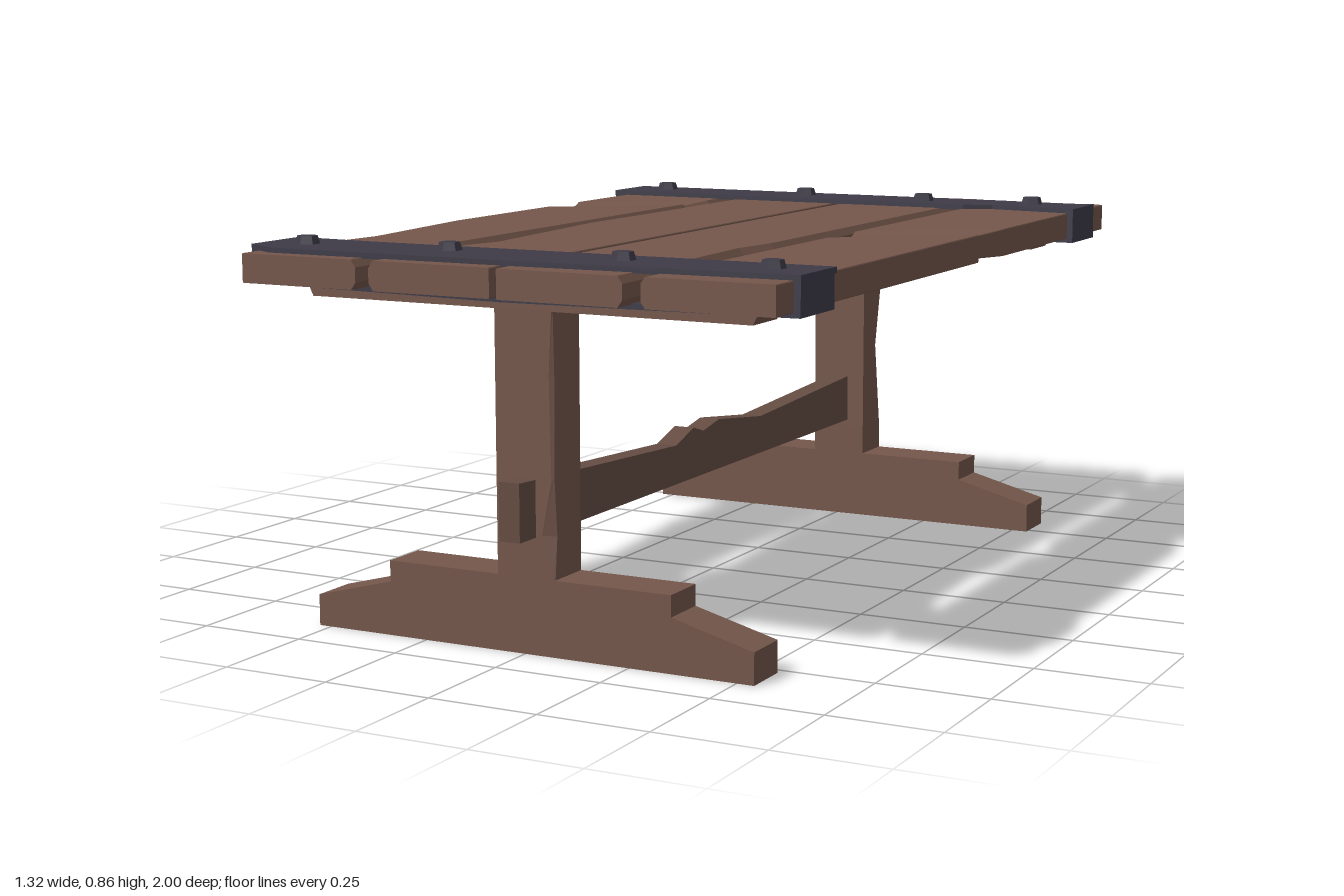
import * as THREE from 'three';

const wood = new THREE.MeshStandardMaterial({ color: 0x75574b, flatShading: true });
const darkWood = new THREE.MeshStandardMaterial({ color: 0x664d43, flatShading: true });
const metal = new THREE.MeshStandardMaterial({ color: 0x3e3b48, flatShading: true });

function add(parent, name, geometry, material) {
  const mesh = new THREE.Mesh(geometry, material);
  mesh.name = name;
  parent.add(mesh);
  return mesh;
}

// Closed solid skinned over rings of equal point count
function loft(rings) {
  const n = rings[0].length, last = rings.length - 1, index = [];
  for (let i = 0; i < last; i++) {
    for (let j = 0; j < n; j++) {
      const k = (j + 1) % n, p = i * n, q = p + n;
      index.push(p + j, p + k, q + k, p + j, q + k, q + j);
    }
  }
  for (let j = 1; j < n - 1; j++) {
    index.push(0, j + 1, j, last * n, last * n + j, last * n + j + 1);
  }
  const g = new THREE.BufferGeometry();
  g.setAttribute('position', new THREE.Float32BufferAttribute(rings.flat(2), 3));
  g.setIndex(index);
  const flat = g.toNonIndexed();
  flat.computeVertexNormals();
  return flat;
}

function extrude(points, depth) {
  const shape = new THREE.Shape(points.map(([a, b]) => new THREE.Vector2(a, b)));
  return new THREE.ExtrudeGeometry(shape, { depth, bevelEnabled: false });
}

// Flat plate from an x,z outline
function plate(outline, y0, y1) {
  return extrude(outline.map(([x, z]) => [x, -z]), y1 - y0).rotateX(-Math.PI / 2).translate(0, y0, 0);
}

// Plank from rows [leftX, leftZ, rightX, rightZ, top dent], with an edge chamfer per side
function plank(rows, cl, cr) {
  const y0 = 0.77;
  return loft(rows.map(([xa, za, xb, zb, dent = 0]) => {
    const y1 = 0.834 - dent;
    return [
      [xa + cl * 0.7, y0, za], [xb - cr * 0.7, y0, zb], [xb, y0 + cr, zb], [xb, y1 - cr, zb],
      [xb - cr * 0.7, y1, zb], [xa + cl * 0.7, y1, za], [xa, y1 - cl, za], [xa, y0 + cl, za],
    ];
  }));
}

const planks = [
  { cl: 0.002, cr: 0.016, rows: [
    [-0.625, -0.985, -0.333, -0.985], [-0.625, -0.44, -0.333, -0.64], [-0.595, -0.36, -0.365, -0.57, 0.01],
    [-0.625, -0.28, -0.333, -0.5], [-0.625, 0.15, -0.333, 0.15], [-0.58, 0.56, -0.333, 0.56],
    [-0.6, 0.74, -0.333, 0.74], [-0.625, 0.82, -0.333, 0.82], [-0.625, 0.995, -0.333, 0.995]] },
  { cl: 0.016, cr: 0.002, rows: [
    [-0.3, -0.975, -0.007, -0.99], [-0.305, -0.3, -0.005, -0.3], [-0.315, 0.05, -0.005, 0.05],
    [-0.275, 0.54, -0.005, 0.54], [-0.3, 0.63, -0.005, 0.63], [-0.3, 0.995, -0.005, 0.995]] },
  { cl: 0.002, cr: 0.016, rows: [
    [0.015, -0.985, 0.295, -1], [0.015, -0.9, 0.307, -0.9], [0.015, 0.3, 0.305, 0.3],
    [0.015, 0.42, 0.287, 0.42], [0.015, 0.72, 0.3, 0.72], [0.015, 1, 0.307, 1]] },
  { cl: 0.014, cr: 0.002, rows: [
    [0.345, -0.985, 0.64, -0.985], [0.345, -0.03, 0.64, -0.25], [0.375, 0.045, 0.605, -0.165, 0.01],
    [0.345, 0.12, 0.64, -0.085], [0.345, 0.995, 0.64, 0.995]] },
];

// Iron straps: warped top and bottom outlines, plus bolt positions
const straps = [
  { name: 'frontStrap', z: [0.755, 0.915],
    top: [[-0.66, 0.745], [-0.45, 0.755], [0.655, 0.745], [0.655, 0.915], [0, 0.95], [-0.58, 0.96], [-0.66, 0.915]],
    bottom: [[-0.66, 0.755], [-0.6, 0.707], [-0.3, 0.715], [0.3, 0.755], [0.655, 0.755], [0.655, 0.915], [0, 0.962], [-0.66, 0.915]],
    bolts: [[-0.555, 0.855], [-0.205, 0.83], [0.215, 0.83], [0.555, 0.83]] },
  { name: 'backStrap', z: [-0.868, -0.705],
    top: [[-0.66, -0.87], [0.4, -0.87], [0.57, -0.855], [0.655, -0.87], [0.655, -0.705], [0.43, -0.735], [0.36, -0.705], [-0.66, -0.705]],
    bottom: [[-0.66, -0.87], [0, -0.92], [0.655, -0.87], [0.655, -0.705], [-0.66, -0.705]],
    bolts: [[-0.55, -0.805], [-0.13, -0.805], [0.22, -0.78], [0.51, -0.805]] },
];

// Post with its outer right corner worn away; wear rows are [y, cutX, cutZ]
function post(z0, z1, front, wear) {
  const x0 = -0.065, x1 = 0.075;
  return loft(wear.map(([y, cx, cz]) => (front
    ? [[x0, z1], [x1 - cx, z1], [x1, z1 - cz], [x1, z0], [x0, z0]]
    : [[x0, z1], [x1, z1], [x1, z0 + cz], [x1 - cx, z0], [x0, z0]]
  ).map(([x, z]) => [x, y, z])));
}

function trestle(name, z0, z1, front, wear) {
  const group = new THREE.Group();
  group.name = name;
  const foot = [[-0.53, 0], [0.54, 0], [0.54, 0.07], [0.35, 0.12], [0.35, 0.167],
    [-0.34, 0.167], [-0.34, 0.12], [-0.53, 0.07]];
  const bar = [[-0.525, 0.735], [0.535, 0.735], [0.55, 0.765], [0.55, 0.772], [-0.54, 0.772], [-0.54, 0.765]];
  add(group, 'foot', extrude(foot, z1 - z0).translate(0, 0, z0), wood);
  add(group, 'crossbar', extrude(bar, z1 - z0).translate(0, 0, z0), wood);
  add(group, 'post', post(z0, z1, front, wear), wood);
  return group;
}

export function createModel() {
  const table = new THREE.Group();
  table.name = 'trestleTable';

  // Table top
  for (const p of planks) add(table, 'plank', plank(p.rows, p.cl, p.cr), wood);

  // Straps wrapped round the planks, with hexagonal bolts
  for (const s of straps) {
    const group = new THREE.Group();
    group.name = s.name;
    add(group, 'topPlate', plate(s.top, 0.832, 0.845), metal);
    add(group, 'bottomPlate', plate(s.bottom, 0.76, 0.772), metal);
    for (const x of [-0.649, 0.645]) {
      const end = new THREE.BoxGeometry(0.02, 0.082, s.z[1] - s.z[0]);
      add(group, 'endPlate', end, metal).position.set(x, 0.802, (s.z[0] + s.z[1]) / 2);
    }
    for (const [x, z] of s.bolts) {
      add(group, 'bolt', new THREE.CylinderGeometry(0.022, 0.028, 0.02, 6), metal).position.set(x, 0.853, z);
    }
    table.add(group);
  }

  // Supports
  table.add(trestle('frontTrestle', 0.77, 0.88, true,
    [[0.16, 0.004, 0.002], [0.26, 0.03, 0.012], [0.38, 0.006, 0.003], [0.6, 0.01, 0.006], [0.74, 0.002, 0.002]]));
  table.add(trestle('backTrestle', -0.845, -0.732, false,
    [[0.16, 0.002, 0.002], [0.24, 0.008, 0.004], [0.45, 0.05, 0.035], [0.6, 0.008, 0.004], [0.74, 0.002, 0.002]]));

  // Beam under the planks
  add(table, 'topBeam', new THREE.BoxGeometry(0.14, 0.036, 1.52), wood).position.set(0.005, 0.753, 0.02);

  // Worn stretcher passing through both posts
  const profile = [[-0.905, 0.255], [0.945, 0.255], [0.945, 0.382], [0.85, 0.377], [0.25, 0.347], [0.16, 0.375],
    [0.11, 0.36], [0.03, 0.375], [-0.2, 0.347], [-0.82, 0.377], [-0.905, 0.382]];
  add(table, 'stretcher', extrude(profile, 0.05).rotateY(-Math.PI / 2).translate(0.03, 0, 0), darkWood);

  return table;
}
